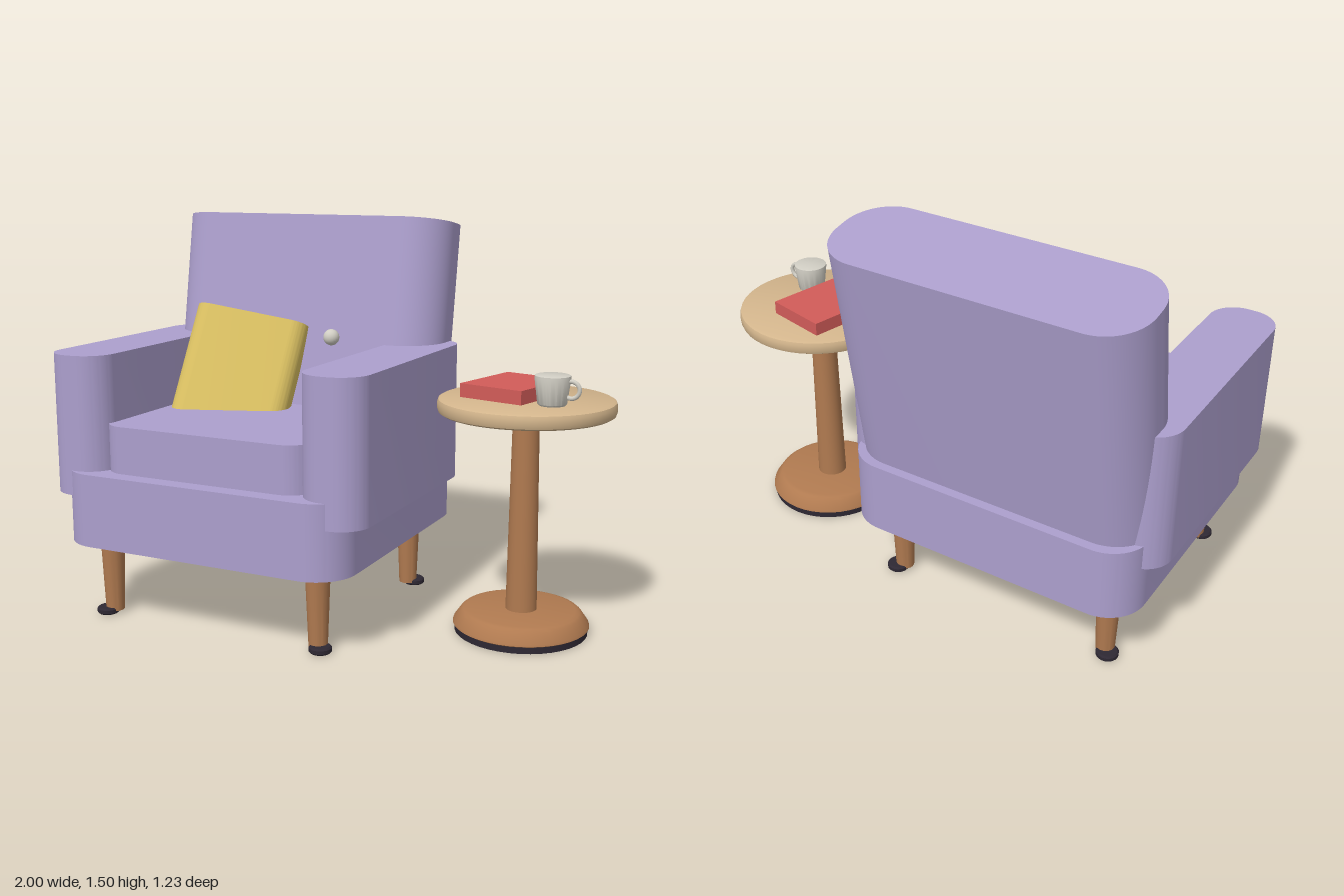
import * as THREE from 'three';
import { toCreasedNormals } from 'three/addons/utils/BufferGeometryUtils.js';

const material = (name, color) => {
  const m = new THREE.MeshStandardMaterial({ color });
  m.name = name;
  return m;
};

// Upright block with rounded corners in plan, standing on y = 0
function roundedBlock(width, depth, height, r) {
  const w = width / 2, d = depth / 2;
  const s = new THREE.Shape();
  s.moveTo(-w + r, -d);
  s.lineTo(w - r, -d);
  s.absarc(w - r, -d + r, r, -Math.PI / 2, 0);
  s.lineTo(w, d - r);
  s.absarc(w - r, d - r, r, 0, Math.PI / 2);
  s.lineTo(-w + r, d);
  s.absarc(-w + r, d - r, r, Math.PI / 2, Math.PI);
  s.lineTo(-w, -d + r);
  s.absarc(-w + r, -d + r, r, Math.PI, Math.PI * 1.5);
  const g = new THREE.ExtrudeGeometry(s, { depth: height, bevelEnabled: false, curveSegments: 12 });
  g.rotateX(-Math.PI / 2);
  return toCreasedNormals(g, 0.6);
}

// Turned part from [radius, height] pairs, bottom to top
function turned(points, sides = 40) {
  const g = new THREE.LatheGeometry(points.map(([r, y]) => new THREE.Vector2(r, y)), sides);
  return toCreasedNormals(g, 0.6);
}

export function createModel() {
  const fabric = material('lilac fabric', 0xac9fcd);
  const wood = material('brown wood', 0xb07a50);
  const paleWood = material('pale wood', 0xd3b58c);
  const mustard = material('mustard fabric', 0xdac062);
  const red = material('red cover', 0xd25c59);
  const ceramic = material('ceramic', 0xd0cdc3);
  const dark = material('dark rubber', 0x2e2833);

  const model = new THREE.Group();
  const add = (parent, name, geometry, mat, x, y, z) => {
    const mesh = new THREE.Mesh(geometry, mat);
    mesh.name = name;
    mesh.position.set(x, y, z);
    parent.add(mesh);
    return mesh;
  };

  // Armchair
  const chair = new THREE.Group();
  chair.name = 'armchair';
  model.add(chair);
  const cx = -0.35;
  add(chair, 'seatBase', roundedBlock(1.18, 1.117, 0.277, 0.15), fabric, cx, 0.3, 0.058);
  add(chair, 'seatCushion', roundedBlock(0.86, 0.95, 0.185, 0.1), fabric, cx, 0.57, 0.075);
  const back = add(chair, 'backrest', roundedBlock(1.18, 0.368, 0.95, 0.165), fabric, cx, 0.536, -0.271);
  back.rotation.x = -0.17;
  add(chair, 'backButton', new THREE.SphereGeometry(0.032, 20, 14), ceramic, -0.165, 1.032, -0.146);

  const armGeo = roundedBlock(0.247, 0.985, 0.53, 0.11);
  const legGeo = turned([[0, 0], [0.035, 0], [0.047, 0.3], [0, 0.3]], 20);
  const footGeo = turned([[0, 0], [0.036, 0], [0.042, 0.006], [0.042, 0.019], [0.036, 0.025], [0, 0.025]], 20);
  for (const side of [-1, 1]) {
    add(chair, side > 0 ? 'leftArm' : 'rightArm', armGeo, fabric, cx + side * 0.5265, 0.482, 0.092);
    for (const [end, z] of [[1, 0.47], [-1, -0.328]]) {
      const label = (end > 0 ? 'front' : 'back') + (side > 0 ? 'Left' : 'Right');
      add(chair, label + 'Leg', legGeo, wood, cx + side * 0.443, 0.012, z);
      add(chair, label + 'Foot', footGeo, dark, cx + side * 0.462, 0, z + end * 0.02);
    }
  }

  // Loose pillow leaning on the backrest
  const pillowGeo = roundedBlock(0.46, 0.16, 0.48, 0.065);
  pillowGeo.translate(0, -0.24, 0);
  const pillow = add(chair, 'pillow', pillowGeo, mustard, -0.518, 0.877, -0.033);
  pillow.rotation.set(-0.4, 0.35, -0.19, 'YXZ');

  // Round side table
  const table = new THREE.Group();
  table.name = 'sideTable';
  table.position.set(0.678, 0, -0.039);
  model.add(table);
  add(table, 'tablePad', turned([[0, 0], [0.246, 0], [0.246, 0.025], [0, 0.025]]), dark, 0, 0, 0);
  add(table, 'tableFoot', turned([
    [0, 0.022], [0.243, 0.022], [0.252, 0.028], [0.25, 0.036],
    [0.225, 0.072], [0.215, 0.08], [0.2, 0.084], [0, 0.084],
  ]), wood, 0, 0, 0);
  add(table, 'tablePost', turned([[0, 0.07], [0.058, 0.07], [0.048, 0.83], [0, 0.83]], 28), wood, 0, 0, 0);
  add(table, 'tableTop', turned([
    [0, 0.822], [0.308, 0.822], [0.318, 0.828], [0.322, 0.84],
    [0.322, 0.862], [0.318, 0.873], [0.308, 0.878], [0, 0.878],
  ], 48), paleWood, 0, 0, 0);

  // Book and cup on the table
  const book = add(model, 'book', new THREE.BoxGeometry(0.257, 0.051, 0.318), red, 0.617, 0.903, -0.074);
  book.rotation.y = -0.23;
  const cup = new THREE.Group();
  cup.name = 'cup';
  cup.position.set(0.8, 0.877, 0.053);
  model.add(cup);
  add(cup, 'cupBody', turned([
    [0, 0], [0.046, 0], [0.052, 0.007], [0.064, 0.1], [0.063, 0.106], [0.058, 0.108], [0, 0.108],
  ], 32), ceramic, 0, 0, 0);
  add(cup, 'cupHandle', new THREE.TorusGeometry(0.03, 0.008, 10, 24), ceramic, 0.067, 0.059, 0);

  return model;
}
